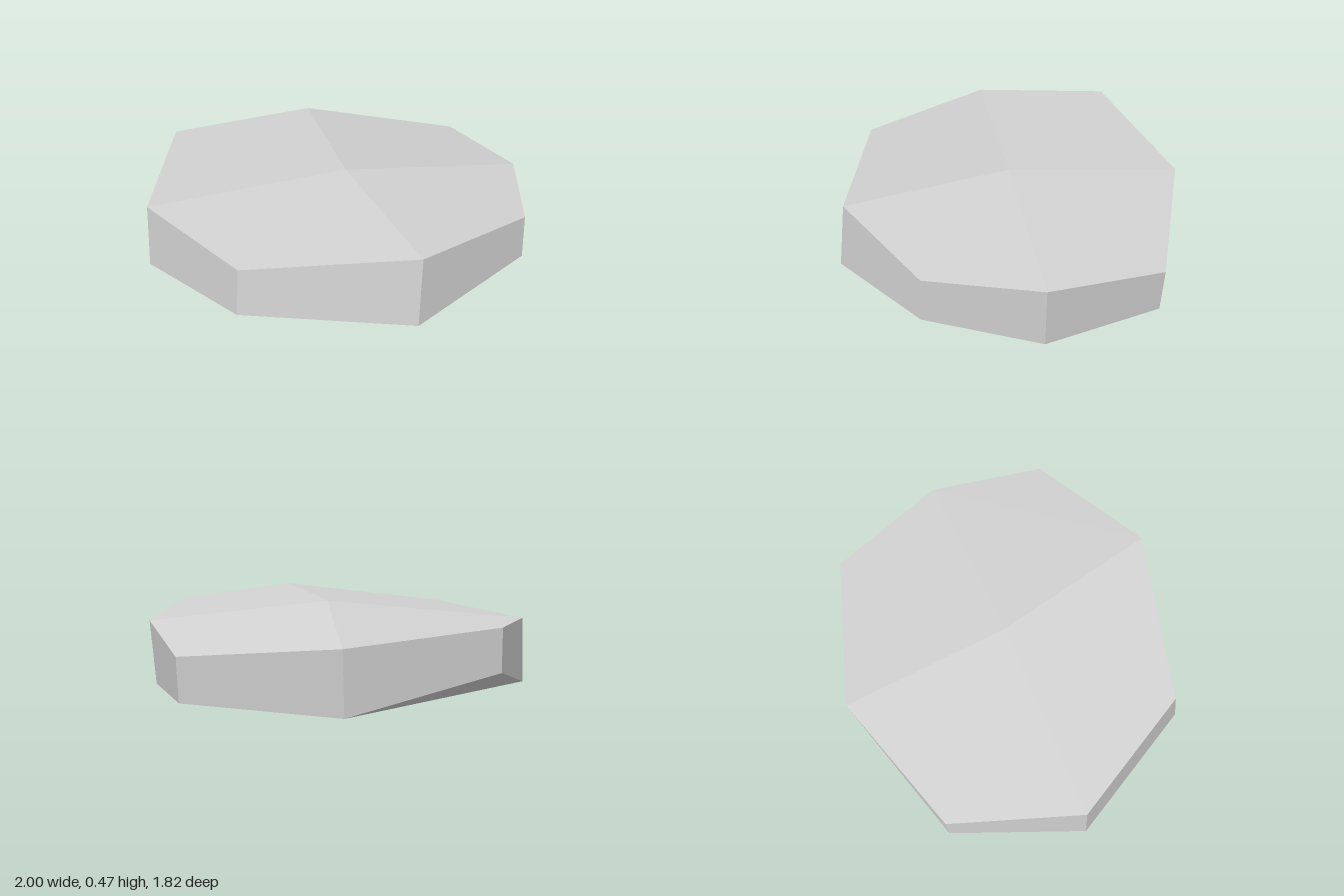
import * as THREE from 'three';

// Eight corners of each face, clockwise from the back as seen from above: x, y, z
const TOP_RIM = [
  [0.01, 0.357, -0.91], [0.81, 0.283, -0.67], [1.0, 0.37, -0.05], [0.88, 0.41, 0.535],
  [0.27, 0.455, 0.87], [-0.6, 0.375, 0.685], [-0.99, 0.365, 0.02], [-0.78, 0.417, -0.66],
];
const BOTTOM_RIM = [
  [0.0, 0.015, -0.87], [0.8, 0.05, -0.655], [0.97, 0.03, -0.05], [0.88, 0.177, 0.54],
  [0.25, 0.087, 0.905], [-0.615, 0.125, 0.705], [-1.0, 0.015, 0.03], [-0.78, 0.19, -0.65],
];
const TOP_CENTRE = [0.06, 0.465, 0];
const BOTTOM_CENTRE = [-0.09, 0, -0.055];

// Four-cornered facets, split from corner b to corner d, each with one flat normal
function facets(quads) {
  const positions = [], normals = [];
  for (const quad of quads) {
    const [a, b, c, d] = quad.map((p) => new THREE.Vector3(...p));
    const normal = c.clone().sub(a).cross(d.clone().sub(b)).normalize();
    for (const p of [a, b, d, b, c, d]) {
      positions.push(...p.toArray());
      normals.push(...normal.toArray());
    }
  }
  const geometry = new THREE.BufferGeometry();
  geometry.setAttribute('position', new THREE.Float32BufferAttribute(positions, 3));
  geometry.setAttribute('normal', new THREE.Float32BufferAttribute(normals, 3));
  return geometry;
}

export function createModel() {
  const model = new THREE.Group();
  model.name = 'stoneSlab';
  const stone = new THREE.MeshStandardMaterial({ color: 0xd2d2d2, side: THREE.DoubleSide });
  stone.name = 'pale grey stone';

  const top = [], bottom = [], sides = [];
  const count = TOP_RIM.length;
  for (let i = 0; i < count; i++) {
    const j = (i + 1) % count;
    sides.push([BOTTOM_RIM[j], BOTTOM_RIM[i], TOP_RIM[i], TOP_RIM[j]]);
  }
  // Every second rim corner is joined to the centre, giving four large facets
  for (let i = 0; i < count; i += 2) {
    const j = i + 1, k = (i + 2) % count;
    top.push([TOP_CENTRE, TOP_RIM[k], TOP_RIM[j], TOP_RIM[i]]);
    bottom.push([BOTTOM_CENTRE, BOTTOM_RIM[i], BOTTOM_RIM[j], BOTTOM_RIM[k]]);
  }

  // Domed top, sloping sides and shallow pointed underside
  for (const [name, quads] of Object.entries({ top, sides, bottom })) {
    const mesh = new THREE.Mesh(facets(quads), stone);
    mesh.name = name;
    model.add(mesh);
  }
  return model;
}
